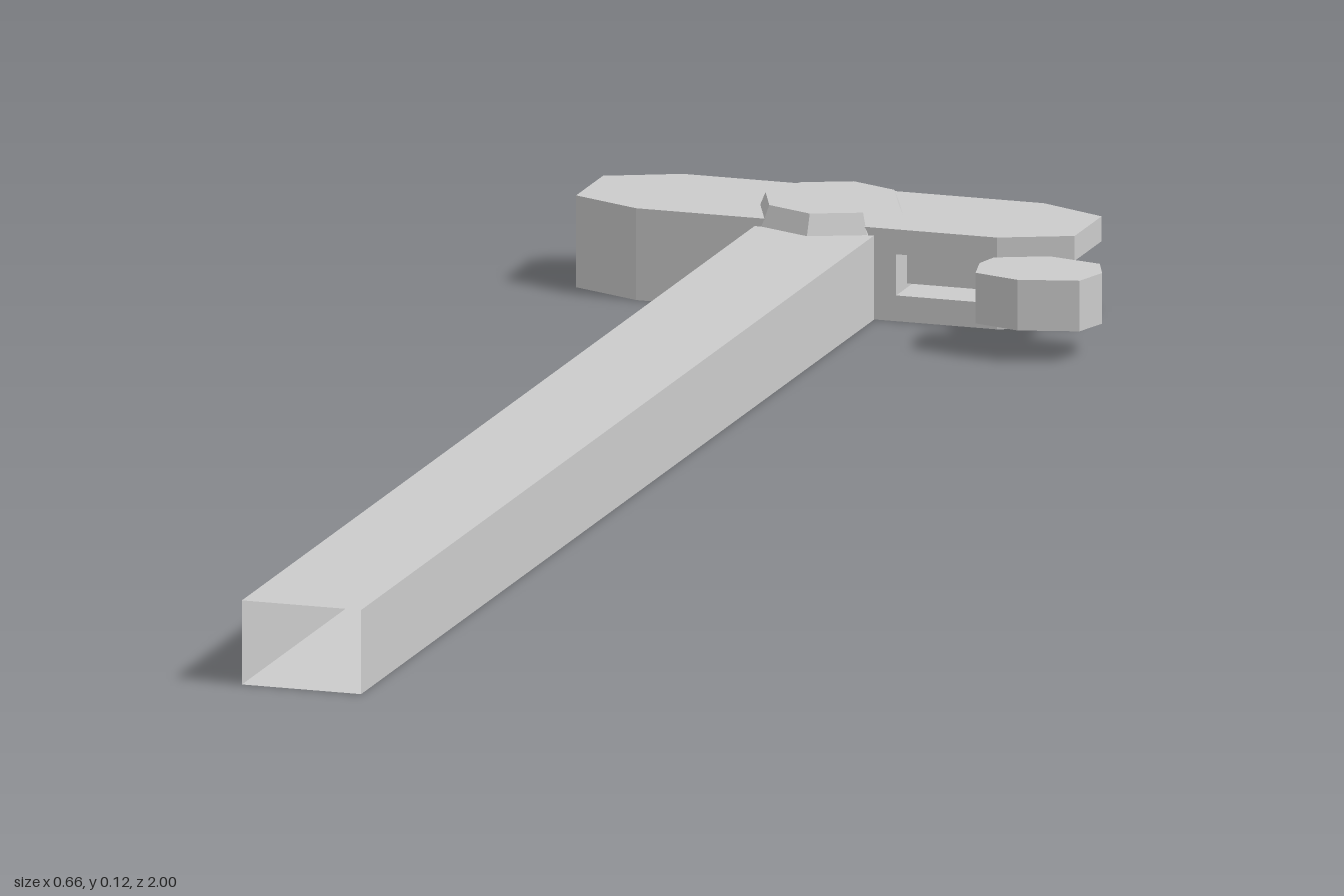
import * as THREE from 'three';

const material = new THREE.MeshStandardMaterial({ color: 0xcccccc, flatShading: true, side: THREE.DoubleSide });

function addMesh(parent, name, geometry) {
  const mesh = new THREE.Mesh(geometry, material);
  mesh.name = name;
  parent.add(mesh);
  return mesh;
}

// Upright prism over a plan outline of [x, z] points, from y0 to y1.
function prism(outline, y0, y1) {
  const shape = new THREE.Shape(outline.map(([x, z]) => new THREE.Vector2(x, -z)));
  return new THREE.ExtrudeGeometry(shape, { depth: y1 - y0, bevelEnabled: false })
    .rotateX(-Math.PI / 2)
    .translate(0, y0, 0);
}

export function createModel() {
  const model = new THREE.Group();
  model.name = 'chargingHandle';

  // Thin-walled square shaft, open at the front end
  const x0 = -0.108, x1 = 0.034, top = 0.098;
  const shaft = new THREE.BoxGeometry(x1 - x0, top, 1.83);
  const index = Array.from(shaft.index.array);
  index.splice(24, 6); // drop the +z face
  shaft.setIndex(index);
  shaft.translate((x0 + x1) / 2, top / 2, 0.085);
  addMesh(model, 'shaft', shaft);

  // Cross head with chamfered ends, slotted on its left side
  const head = new THREE.Group();
  head.name = 'head';
  model.add(head);
  const slotX = 0.06, slotLow = 0.03, slotHigh = 0.078, headTop = 0.107;
  const solidEnd = [
    [slotX, -1], [-0.25, -1], [-0.333, -0.963], [-0.333, -0.867], [-0.25, -0.832], [slotX, -0.832],
  ];
  const slottedEnd = [
    [slotX, -0.832], [0.18, -0.832], [0.261, -0.867], [0.261, -0.963], [0.18, -1], [slotX, -1],
  ];
  const whole = [...solidEnd.slice(1, 5), ...slottedEnd.slice(1, 5)];
  addMesh(head, 'headLowerPlate', prism(whole, 0, slotLow));
  addMesh(head, 'headCore', prism(solidEnd, slotLow, slotHigh));
  addMesh(head, 'headUpperPlate', prism(whole, slotHigh, headTop));

  // Latch bar and neck inside the slot
  const latch = new THREE.Group();
  latch.name = 'latch';
  model.add(latch);
  addMesh(latch, 'latchBar', prism(
    [[slotX, -0.965], [0.17, -0.965], [0.215, -0.945], [0.215, -0.87], [slotX, -0.87]], 0.035, 0.075));
  addMesh(latch, 'latchNeck', prism(
    [[0.19, -0.9], [0.235, -0.9], [0.255, -0.87], [0.255, -0.79], [0.19, -0.77]], 0.037, 0.073));

  // Finger pad on the end of the latch
  addMesh(latch, 'fingerPad', prism([
    [0.192, -0.785], [0.25, -0.81], [0.315, -0.795], [0.331, -0.755],
    [0.318, -0.713], [0.25, -0.695], [0.195, -0.711], [0.185, -0.755],
  ], 0.037, 0.096));

  // Eight-sided pivot cap on top
  const cap = addMesh(model, 'pivotCap', new THREE.CylinderGeometry(0.079, 0.089, 0.024, 8));
  cap.position.set(-0.037, 0.11, -0.893);

  return model;
}
